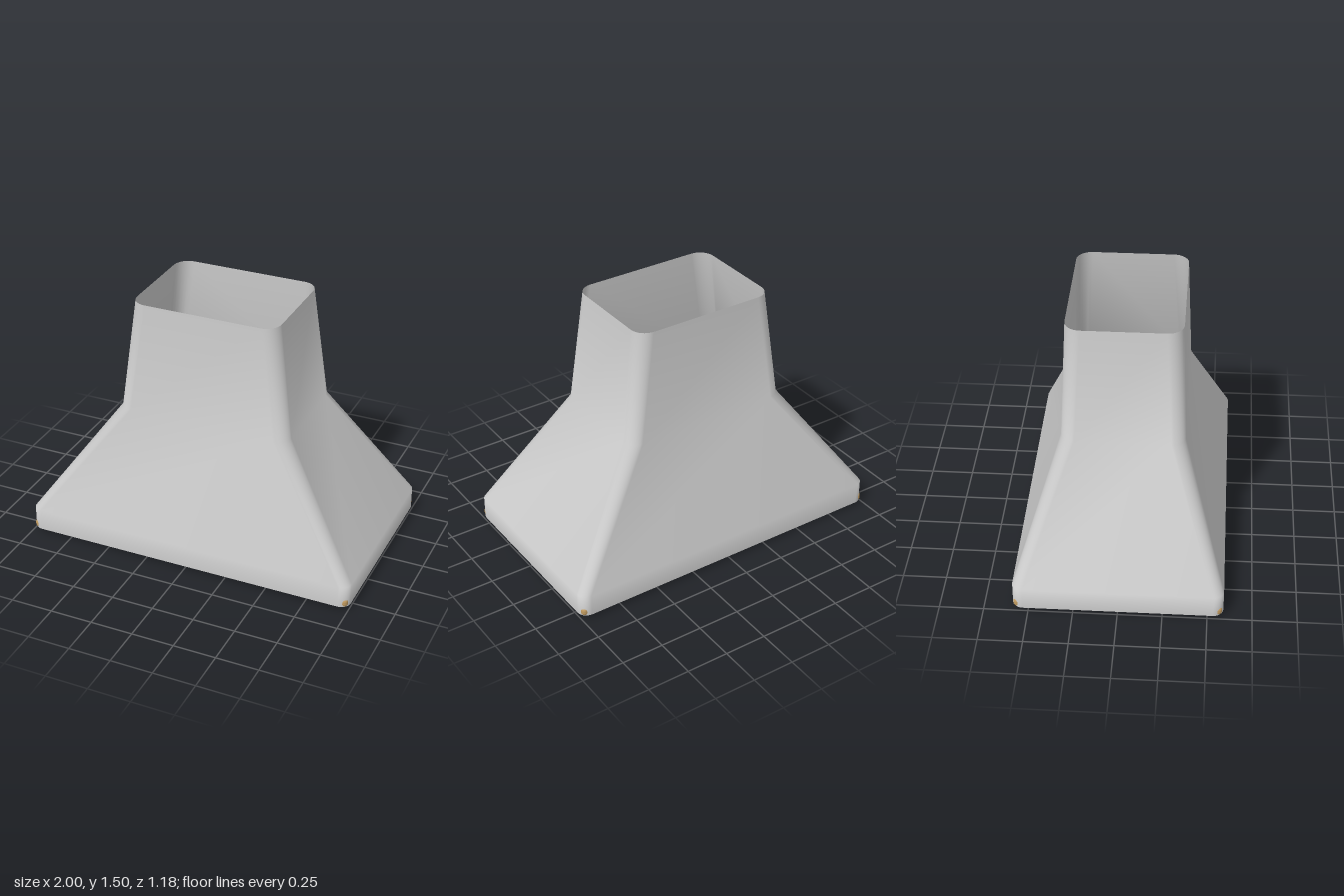
import * as THREE from 'three';
import { RoundedBoxGeometry } from 'three/addons/geometries/RoundedBoxGeometry.js';

// One closed rounded-rectangle ring of points at height y
function ring(y, hx, hz, r, seg) {
  const pts = [];
  const corners = [[1, 1], [-1, 1], [-1, -1], [1, -1]];
  corners.forEach(([sx, sz], q) => {
    for (let i = 0; i <= seg; i++) {
      const a = (q + i / seg) * Math.PI / 2;
      pts.push(sx * (hx - r) + r * Math.cos(a), y, sz * (hz - r) + r * Math.sin(a));
    }
  });
  return pts;
}

// Smooth open skin through a stack of rings
function loft(sections, seg) {
  const n = 4 * (seg + 1);
  const positions = sections.flatMap(([y, hx, hz, r]) => ring(y, hx, hz, r, seg));
  const index = [];
  for (let k = 0; k < sections.length - 1; k++) {
    for (let i = 0; i < n; i++) {
      const j = (i + 1) % n;
      const a = k * n + i, b = k * n + j, c = a + n, d = b + n;
      index.push(a, c, b, b, c, d);
    }
  }
  const geo = new THREE.BufferGeometry();
  geo.setAttribute('position', new THREE.Float32BufferAttribute(positions, 3));
  geo.setIndex(index);
  geo.computeVertexNormals();
  return geo;
}

export function createModel() {
  const model = new THREE.Group();
  model.name = 'rangeHood';

  const grey = new THREE.MeshStandardMaterial({ color: 0xcccccc });
  const shellMat = new THREE.MeshStandardMaterial({ color: 0xcccccc, side: THREE.DoubleSide });
  const tan = new THREE.MeshStandardMaterial({ color: 0xc09a60 });

  const add = (name, geo, mat, x = 0, y = 0, z = 0) => {
    const mesh = new THREE.Mesh(geo, mat);
    mesh.name = name;
    mesh.position.set(x, y, z);
    model.add(mesh);
  };

  // Thin hood skin, open at the top: [height, half width, half depth, corner radius]
  add('hoodShell', loft([
    [0.02, 1.0, 0.59, 0.06],
    [0.15, 1.0, 0.59, 0.06],
    [0.83, 0.52, 0.35, 0.08],
    [1.5, 0.435, 0.325, 0.09],
  ], 8), shellMat);

  // Panel closing the underside
  add('bottomPanel', new RoundedBoxGeometry(1.986, 0.055, 1.166, 4, 0.022), tan, 0, 0.0425, 0);

  // Two small round lamps under the front half
  for (const side of [-1, 1]) {
    add(side > 0 ? 'leftLamp' : 'rightLamp',
      new THREE.CylinderGeometry(0.04, 0.04, 0.03, 32), grey, side * 0.69, 0.015, 0.29);
  }
  return model;
}
